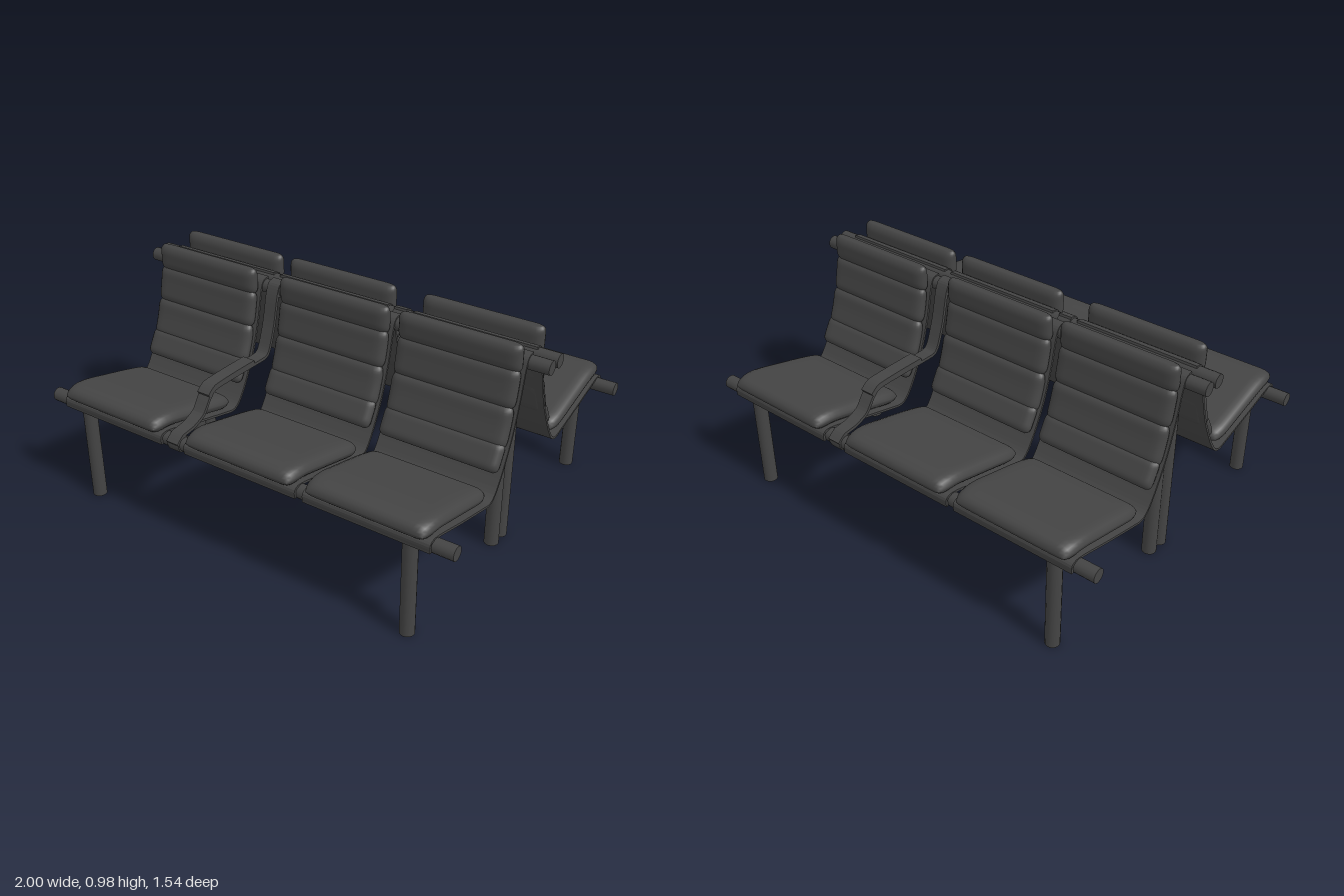
import * as THREE from 'three';
import { mergeVertices } from 'three/addons/utils/BufferGeometryUtils.js';

const material = new THREE.MeshStandardMaterial({ color: 0x444444, side: THREE.DoubleSide });

function add(parent, geometry, name, x = 0, y = 0, z = 0) {
  const mesh = new THREE.Mesh(geometry, material);
  mesh.name = name;
  mesh.position.set(x, y, z);
  parent.add(mesh);
  return mesh;
}

// smooth side-view curve through [z, y] points
const sideCurve = (points, tension = 0.5) => new THREE.CatmullRomCurve3(
  points.map(([z, y]) => new THREE.Vector3(0, y, z)), false, 'catmullrom', tension);

// bent strip of constant thickness, following a side-view path
function strip(points, width, thickness, tension) {
  const curve = sideCurve(points, tension);
  const n = points.length * 4;
  const upper = [], lower = [];
  for (let i = 0; i <= n; i++) {
    const p = curve.getPoint(i / n), t = curve.getTangent(i / n);
    const dz = -t.y * thickness / 2, dy = t.z * thickness / 2;
    upper.push(new THREE.Vector2(p.z + dz, p.y + dy));
    lower.unshift(new THREE.Vector2(p.z - dz, p.y - dy));
  }
  const geometry = new THREE.ExtrudeGeometry(new THREE.Shape([...upper, ...lower]),
    { depth: width, bevelEnabled: false });
  return geometry.translate(0, 0, -width / 2).rotateY(-Math.PI / 2);
}

// stuffed pad: a box bent along a path, with rounded rims
function cushion(points, width, half) {
  const curve = sideCurve(points);
  const box = new THREE.BoxGeometry(2, 2, 2, 20, 2, 20);
  box.deleteAttribute('uv');
  box.deleteAttribute('normal');
  const geometry = mergeVertices(box);
  const pos = geometry.attributes.position;
  const ease = a => Math.sin(a * Math.PI / 2);
  const length = curve.getLength();
  const rim = (s, size) => {                       // quarter-round near an edge
    const k = Math.min(1, (1 - Math.abs(s)) * size / 2 / (half * 1.3));
    return Math.sqrt(Math.max(0, 1 - (1 - k) ** 2));
  };
  for (let i = 0; i < pos.count; i++) {
    const sx = ease(pos.getX(i)), sz = ease(pos.getZ(i)), sy = pos.getY(i);
    const u = (sz + 1) / 2;
    const p = curve.getPointAt(u), t = curve.getTangentAt(u);
    const h = sy * half * (0.06 + 0.94 * rim(sx, width) * rim(sz, length));
    const inset = 0.02 * Math.abs(sz) ** 8;        // rounded corners in plan
    pos.setXYZ(i, sx * (width / 2 - inset), p.y + t.z * h, p.z - t.y * h);
  }
  geometry.computeVertexNormals();
  return geometry;
}

const shellPath = [[0.02, 0.918], [0.055, 0.908], [0.075, 0.86], [0.1, 0.75], [0.14, 0.62], [0.18, 0.53],
  [0.22, 0.455], [0.26, 0.4], [0.3, 0.381], [0.36, 0.392], [0.53, 0.433], [0.7, 0.477], [0.748, 0.472], [0.75, 0.435]];
const seatPath = [[0.297, 0.413], [0.42, 0.447], [0.55, 0.479], [0.68, 0.508], [0.77, 0.502]];
const backPaths = [
  { path: [[0.097, 0.975], [0.096, 0.86]], half: 0.031 },
  { path: [[0.1, 0.877], [0.113, 0.8], [0.132, 0.715]], half: 0.029 },
  { path: [[0.132, 0.73], [0.152, 0.65], [0.184, 0.56]], half: 0.029 },
  { path: [[0.18, 0.585], [0.238, 0.482]], half: 0.026 },
];
const armPath = [[0.02, 0.918], [0.055, 0.908], [0.075, 0.86], [0.1, 0.75], [0.135, 0.65], [0.165, 0.614],
  [0.25, 0.612], [0.49, 0.613], [0.54, 0.585], [0.585, 0.525], [0.65, 0.497], [0.715, 0.488], [0.752, 0.46]];

function createBench() {
  const bench = new THREE.Group();
  bench.name = 'bench';

  // long rails and legs
  for (const [y, z, name] of [[0.45, 0.715, 'frontRail'], [0.885, 0.036, 'topRail']]) {
    add(bench, new THREE.CylinderGeometry(0.03, 0.03, 2, 14).rotateZ(Math.PI / 2), name, 0, y, z);
  }
  for (const x of [-0.81, 0.81]) {
    add(bench, new THREE.CylinderGeometry(0.031, 0.031, 0.45, 14), 'frontLeg', x, 0.225, 0.715);
    add(bench, new THREE.CylinderGeometry(0.032, 0.032, 0.9, 14), 'rearLeg', x, 0.45, 0.037);
  }

  // three seats: bent shell, seat pad, four back pads
  const shell = strip(shellPath, 0.555, 0.01);
  const seatPad = cushion(seatPath, 0.54, 0.034);
  const backPads = backPaths.map(b => cushion(b.path, 0.54, b.half));
  for (const x of [-0.632, 0.045, 0.635]) {
    const seat = new THREE.Group();
    seat.name = 'seat';
    seat.position.x = x;
    add(seat, shell, 'seatShell');
    add(seat, seatPad, 'seatCushion');
    backPads.forEach(pad => add(seat, pad, 'backCushion'));
    bench.add(seat);
  }

  // armrest strap in the wide gap, with its pad and rail clamps
  const arm = new THREE.Group();
  arm.name = 'armrest';
  arm.position.x = -0.295;
  add(arm, strip(armPath, 0.06, 0.014, 0.35), 'armStrap');
  add(arm, strip([[0.25, 0.625], [0.38, 0.626], [0.505, 0.622], [0.548, 0.594]], 0.062, 0.018, 0.3), 'armPad');
  for (const [y, z] of [[0.45, 0.715], [0.885, 0.036]]) {
    add(arm, new THREE.CylinderGeometry(0.037, 0.037, 0.06, 8).rotateZ(Math.PI / 2), 'railClamp', 0, y, z);
  }
  bench.add(arm);
  return bench;
}

export function createModel() {
  const model = new THREE.Group();
  model.name = 'backToBackSeating';
  const front = createBench();
  const rear = createBench();
  front.name = 'frontBench';
  rear.name = 'rearBench';
  rear.rotation.y = Math.PI;
  model.add(front, rear);
  return model;
}
